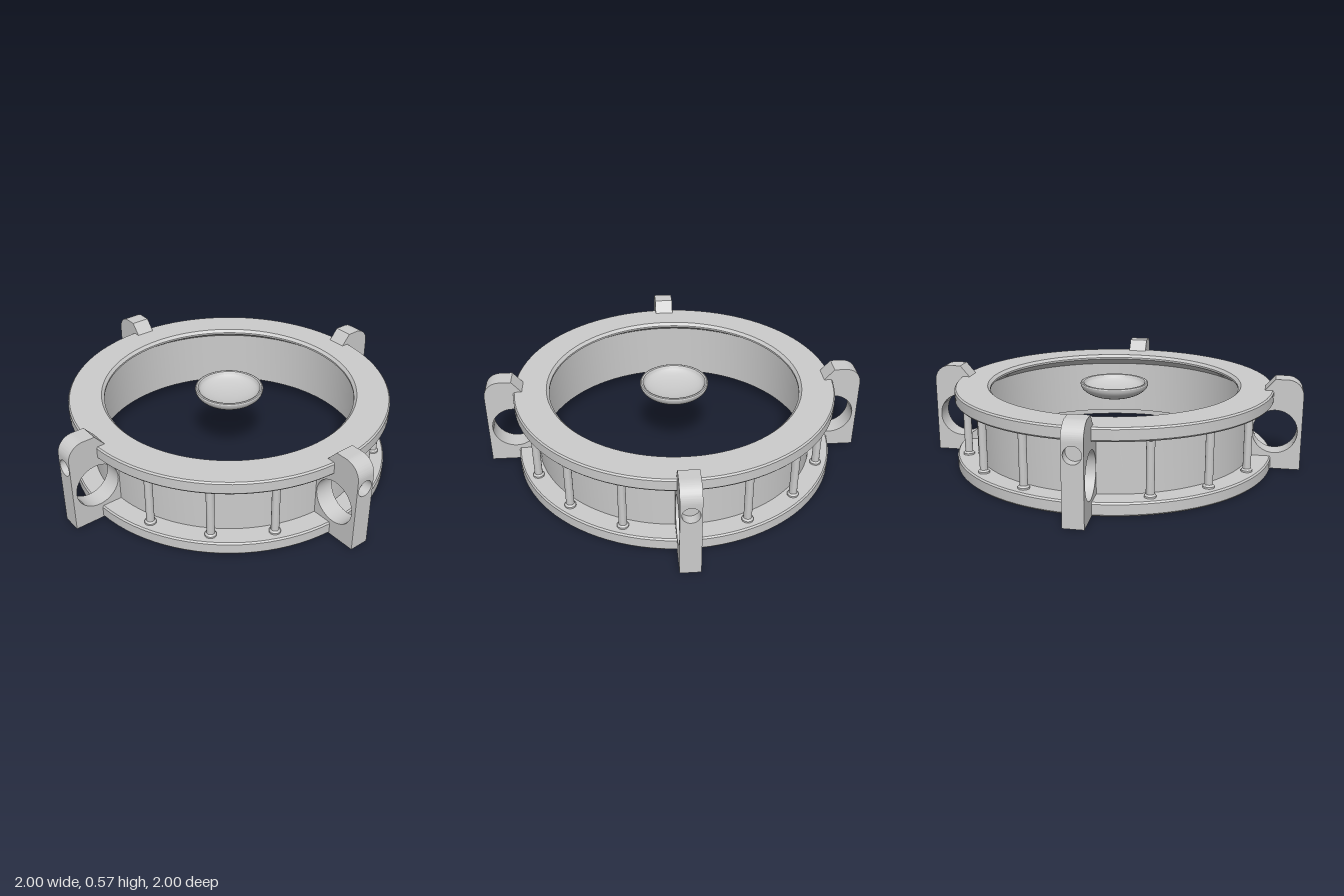
import * as THREE from 'three';
import { toCreasedNormals } from 'three/addons/utils/BufferGeometryUtils.js';

const material = new THREE.MeshStandardMaterial({ color: 0xcccccc });

function addMesh(parent, name, geometry) {
  const mesh = new THREE.Mesh(toCreasedNormals(geometry, 0.5), material);
  mesh.name = name;
  parent.add(mesh);
  return mesh;
}

// Revolved part from [radius, height] pairs, listed counter-clockwise
function lathe(points, segments = 96) {
  return new THREE.LatheGeometry(points.map(([r, y]) => new THREE.Vector2(r, y)), segments);
}

// Bracket: side profile in (radius, height), extruded across its thickness
function createBracket() {
  const bracket = new THREE.Group();
  const thickness = 0.12, outer = 1.178, socketFloor = 1.12;
  const low = 0.345, high = 0.46;

  const side = new THREE.Shape();
  side.moveTo(0.985, 0);
  side.lineTo(outer, 0);
  side.lineTo(outer, low);
  side.lineTo(socketFloor, low);
  side.lineTo(socketFloor, high);
  side.lineTo(outer, high);
  side.lineTo(outer, 0.47);
  side.absarc(outer - 0.1, 0.47, 0.1, 0, Math.PI / 2, false);
  side.lineTo(1.005, 0.57);
  side.lineTo(0.945, 0.5);
  side.lineTo(0.945, 0.43);
  side.lineTo(0.865, 0.43);
  side.lineTo(0.865, 0.075);
  side.lineTo(0.985, 0.075);
  side.closePath();
  const eye = new THREE.Path();
  eye.absarc(1.015, 0.24, 0.137, 0, Math.PI * 2, true);
  side.holes.push(eye);
  const body = new THREE.ExtrudeGeometry(side, { depth: thickness, bevelEnabled: false, curveSegments: 24 });
  body.translate(0, 0, -thickness / 2);
  addMesh(bracket, 'bracketBody', body);

  // Outer block with the small blind socket
  const h = thickness / 2;
  const face = new THREE.Shape();
  face.moveTo(-h, low);
  face.lineTo(h, low);
  face.lineTo(h, high);
  face.lineTo(-h, high);
  face.closePath();
  const socket = new THREE.Path();
  socket.absarc(0, 0.403, 0.05, 0, Math.PI * 2, true);
  face.holes.push(socket);
  const block = new THREE.ExtrudeGeometry(face, { depth: outer - socketFloor, bevelEnabled: false, curveSegments: 16 });
  block.rotateY(Math.PI / 2);
  block.translate(socketFloor, 0, 0);
  addMesh(bracket, 'bracketSocket', block);
  return bracket;
}

export function createModel() {
  const model = new THREE.Group();

  // Bottom flange, recessed underneath
  addMesh(model, 'bottomFlange', lathe([
    [0.86, 0.065], [0.98, 0.065], [0.98, 0], [0.992, 0], [1, 0.01],
    [1, 0.07], [0.992, 0.08], [0.86, 0.08], [0.86, 0.065],
  ]));

  // Top flange with a bevelled inner lip
  addMesh(model, 'topFlange', lathe([
    [0.78, 0.47], [0.86, 0.42], [0.992, 0.42], [1, 0.43], [1, 0.49],
    [0.992, 0.5], [0.797, 0.5], [0.78, 0.482], [0.78, 0.47],
  ]));

  // Thin cylindrical wall between the flanges
  addMesh(model, 'innerWall', lathe([
    [0.86, 0.07], [0.873, 0.07], [0.873, 0.43], [0.86, 0.43], [0.86, 0.07],
  ]));

  // Posts every 22.5 degrees, with brackets taking the diagonal places
  for (let i = 0; i < 16; i++) {
    const angle = (i * Math.PI) / 8;
    if (i % 4 === 2) {
      const bracket = createBracket();
      bracket.name = 'bracket';
      bracket.rotation.y = angle;
      model.add(bracket);
    } else {
      const post = addMesh(model, 'post', lathe([
        [0.034, 0.078], [0.034, 0.09], [0.024, 0.1],
        [0.024, 0.405], [0.032, 0.412], [0.032, 0.422],
      ], 20));
      post.position.set(0.93 * Math.cos(angle), 0, -0.93 * Math.sin(angle));
    }
  }

  // Shallow central dish with a rounded underside
  const dish = [];
  for (let i = 0; i <= 12; i++) {
    const a = (i / 12) * Math.PI / 2;
    dish.push([0.215 * Math.sin(a), 0.49 - 0.095 * Math.cos(a)]);
  }
  dish.push([0.212, 0.497], [0.205, 0.5], [0.195, 0.497]);
  for (let i = 0; i <= 8; i++) {
    const a = (1 - i / 8) * Math.PI / 2;
    dish.push([0.19 * Math.sin(a), 0.49 - 0.05 * Math.cos(a)]);
  }
  addMesh(model, 'centreDish', lathe(dish, 64));

  return model;
}
